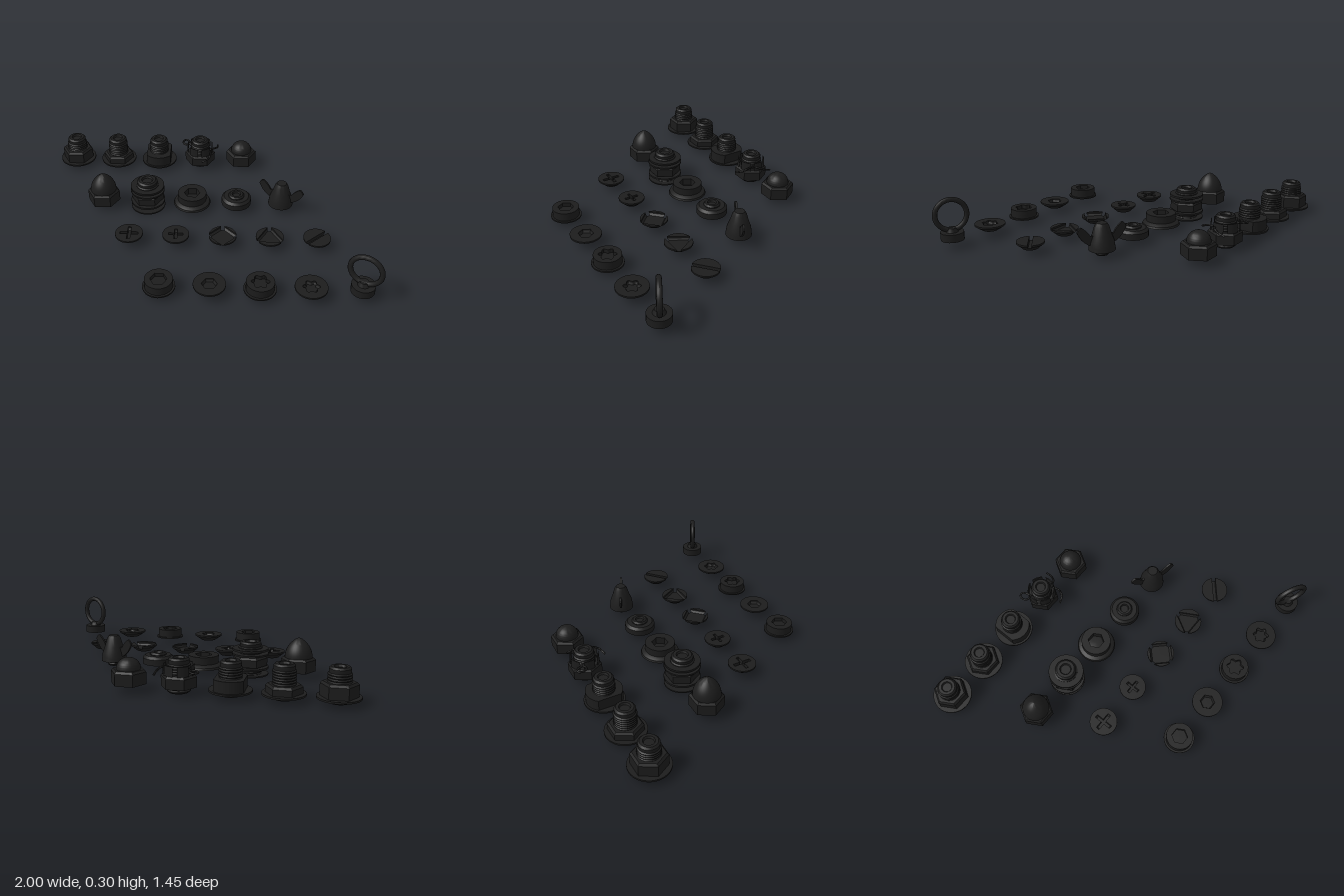
import * as THREE from 'three';
import { toCreasedNormals } from 'three/addons/utils/BufferGeometryUtils.js';

const mat = new THREE.MeshStandardMaterial({ color: 0x1c1c1c, side: THREE.DoubleSide });

function mesh(group, name, geo, crease = 0.6) {
  const m = new THREE.Mesh(toCreasedNormals(geo, crease), mat);
  m.name = name;
  group.add(m);
  return m;
}

const lathe = (g, name, pts, seg = 32) =>
  mesh(g, name, new THREE.LatheGeometry(pts.map(p => new THREE.Vector2(...p)), seg));

const disc = (g, name, r, y0, y1, rTop = r) =>
  lathe(g, name, [[0, y0], [r, y0], [rTop, y1], [0, y1]]);

// Hexagonal prism with corners on x and a chamfered top
function hex(g, name, r, y0, y1, chamfer = 0.012) {
  const add = (rTop, rBot, a, b, n) => {
    const geo = new THREE.CylinderGeometry(rTop, rBot, b - a, 6).rotateY(Math.PI / 6).translate(0, (a + b) / 2, 0);
    mesh(g, n, geo, 0.1);
  };
  add(r, r, y0, y1 - chamfer, name);
  add(r * 0.88, r, y1 - chamfer, y1, name + 'Chamfer');
}

// Threaded rod with a chamfered, dimpled tip
function stud(g, y0, y1, r = 0.064) {
  const pts = [[0, y0], [r * 0.85, y0]];
  const pitch = 0.014, end = y1 - 0.025;
  for (let y = y0 + 0.004; y + pitch < end; y += pitch) pts.push([r, y + pitch * 0.3], [r, y + pitch * 0.6], [r * 0.88, y + pitch]);
  pts.push([r * 0.9, end], [r * 0.9, y1 - 0.01], [r * 0.75, y1], [r * 0.5, y1], [r * 0.42, y1 - 0.012], [0, y1 - 0.012]);
  lathe(g, 'threadedStud', pts);
}

// Extrude shapes upward; the lower edge is drawn in by the taper factor
function slab(g, name, shapes, y0, y1, taper = 1) {
  const geo = new THREE.ExtrudeGeometry(shapes, { depth: y1 - y0, bevelEnabled: false, curveSegments: 24 });
  const p = geo.attributes.position;
  for (let i = 0; i < p.count; i++) {
    if (p.getZ(i) < 1e-6) p.setXY(i, p.getX(i) * taper, p.getY(i) * taper);
  }
  mesh(g, name, geo.rotateX(-Math.PI / 2).translate(0, y0, 0));
}

const circle = r => new THREE.Shape().absarc(0, 0, r, 0, Math.PI * 2);
const polar = (n, f) => Array.from({ length: n }, (_, i) => {
  const a = i / n * Math.PI * 2, r = f(a);
  return new THREE.Vector2(r * Math.cos(a), r * Math.sin(a));
});

// Outlines of the recessed drives
const hexDrive = r => polar(6, () => r);
const lobeDrive = r => polar(60, a => r * (1 + 0.16 * Math.cos(6 * a)));
const crossDrive = (r, w) => [0, 1, 2, 3].flatMap(k =>
  [[r, -w], [r, w], [w, w]].map(([x, y]) => new THREE.Vector2(x, y).rotateAround(new THREE.Vector2(), k * Math.PI / 2)));

function recessed(r, outline) {
  const s = circle(r);
  s.holes.push(new THREE.Path(outline));
  return [s];
}

// Disc cut into sectors by parallel-sided slots running to the rim
function slotted(r, arms, start, w) {
  const d = Math.asin(w / r), step = Math.PI * 2 / arms, inner = w / Math.sin(step / 2);
  return Array.from({ length: arms }, (_, i) => {
    const a = start + i * step, mid = a + step / 2;
    const s = new THREE.Shape();
    s.moveTo(inner * Math.cos(mid), inner * Math.sin(mid));
    s.absarc(0, 0, r, a + d, a + step - d, false);
    s.closePath();
    return s;
  });
}

function countersunkHead(g, r, shapes) {
  slab(g, 'headRim', shapes, 0.055, 0.065);
  slab(g, 'headTaper', shapes, 0.044, 0.055, 0.83);
  disc(g, 'headCone', 0.047, 0.025, 0.044, r * 0.83);
}

function capHead(g, shapes) {
  disc(g, 'headFlange', 0.092, 0.033, 0.042);
  disc(g, 'headBody', 0.08, 0.042, 0.068);
  slab(g, 'headRim', shapes, 0.068, 0.092);
}

const washer = (g, r = 0.117, y = 0.033, t = 0.01) => disc(g, 'washer', r, y, y + t);
const tube = (g, name, pts, r, closed = false) => mesh(g, name, new THREE.TubeGeometry(
  new THREE.CatmullRomCurve3(pts.map(p => new THREE.Vector3(...p)), closed), 32, r, 8, closed), 1);

function hexNut(g) { washer(g); hex(g, 'nut', 0.1, 0.043, 0.12); stud(g, 0.01, 0.2); }

function jamNut(g) { washer(g); hex(g, 'thinNut', 0.1, 0.043, 0.09); stud(g, 0.01, 0.2); }

function flatSidedNut(g) {
  washer(g);
  const a = Math.acos(0.08 / 0.105), s = new THREE.Shape();
  s.absarc(0, 0, 0.105, a, Math.PI - a, false);
  s.absarc(0, 0, 0.105, Math.PI + a, Math.PI * 2 - a, false);
  slab(g, 'flatSidedNut', [s], 0.043, 0.108);
  stud(g, 0.01, 0.2);
}

function castleNut(g) {
  hex(g, 'nut', 0.1, 0.04, 0.11);
  slab(g, 'crown', slotted(0.084, 6, Math.PI / 6, 0.011), 0.11, 0.165, 1.03);
  stud(g, 0.01, 0.2);
  // Split pin: loop, shank and two bent tails
  const y = 0.137;
  tube(g, 'pinLoop', [[-0.07, y, -0.035], [-0.092, y, -0.085], [-0.112, y, -0.078], [-0.117, y, -0.05], [-0.1, y, -0.028]], 0.006, true);
  tube(g, 'pinShank', [[-0.075, y, -0.035], [0, y, 0], [0.075, y, 0.03]], 0.008);
  tube(g, 'pinTailUp', [[0.07, y, 0.025], [0.1, y, 0.012], [0.117, y - 0.012, -0.02], [0.12, y - 0.025, -0.065]], 0.006);
  tube(g, 'pinTailDown', [[0.06, y, 0.03], [0.073, y, 0.08], [0.06, y - 0.015, 0.115], [0.016, y - 0.032, 0.135]], 0.006);
}

function domedNut(g, hexTop, domeR, top, power) {
  hex(g, 'nut', 0.1, 0.04, hexTop);
  const pts = [];
  for (let i = 0; i <= 12; i++) {
    const t = i / 12;
    pts.push([domeR * Math.pow(Math.max(0, 1 - Math.pow(t, 2)), power), hexTop + (top - hexTop) * t]);
  }
  lathe(g, 'dome', pts);
}

function stackedNut(g) {
  stud(g, 0, 0.2, 0.07);
  washer(g, 0.107, 0.003, 0.008);
  washer(g, 0.107, 0.04, 0.012);
  hex(g, 'nut', 0.1, 0.058, 0.115);
  washer(g, 0.107, 0.122, 0.01);
  washer(g, 0.105, 0.148, 0.012);
}

function flangeNut(g) {
  disc(g, 'flange', 0.117, 0.033, 0.045, 0.112);
  disc(g, 'flangeCone', 0.11, 0.045, 0.06, 0.085);
  slab(g, 'nut', recessed(0.09, hexDrive(0.05)), 0.06, 0.105);
}

function roundNut(g) {
  disc(g, 'rim', 0.093, 0.038, 0.075);
  disc(g, 'bevel', 0.093, 0.075, 0.09, 0.078);
  stud(g, 0.035, 0.105, 0.055);
}

function wingNut(g) {
  disc(g, 'base', 0.077, 0.04, 0.06, 0.074);
  lathe(g, 'hub', [[0.074, 0.06], [0.07, 0.09], [0.055, 0.13], [0.042, 0.175], [0.03, 0.195], [0, 0.195]]);
  stud(g, 0.01, 0.08, 0.04);
  const s = new THREE.Shape();
  s.moveTo(0.035, 0.07);
  s.lineTo(0.08, 0.075);
  s.quadraticCurveTo(0.125, 0.1, 0.148, 0.155);
  s.quadraticCurveTo(0.135, 0.185, 0.12, 0.182);
  s.quadraticCurveTo(0.085, 0.155, 0.07, 0.125);
  s.lineTo(0.035, 0.13);
  for (const side of [0, Math.PI]) {
    const geo = new THREE.ExtrudeGeometry(s, { depth: 0.012, bevelEnabled: false }).translate(0, 0, -0.006);
    mesh(g, 'wing', geo).rotation.y = side - 0.45;
  }
}

function eyeBolt(g) {
  disc(g, 'base', 0.067, 0.045, 0.092);
  disc(g, 'collar', 0.035, 0.092, 0.115, 0.025);
  mesh(g, 'ring', new THREE.TorusGeometry(0.09, 0.015, 12, 40).translate(0, 0.193, 0), 1).rotation.y = -0.49;
}

export function createModel() {
  const model = new THREE.Group();
  model.name = 'fastenerSet';
  const sunk = (r, shapes) => g => countersunkHead(g, r, shapes);
  const cap = shapes => g => capHead(g, shapes);
  // Each row: z, first x, then the pieces from right to left of the model
  const rows = [
    [-0.61, -0.885, { hexNut, jamNut, flatSidedNut, castleNut, capNut: g => domedNut(g, 0.12, 0.068, 0.184, 0.5) }],
    [-0.136, -0.636, { tallCapNut: g => domedNut(g, 0.12, 0.08, 0.235, 0.75), stackedNut, flangeNut, roundNut, wingNut }],
    [0.222, -0.436, {
      crossScrew: sunk(0.083, recessed(0.083, crossDrive(0.055, 0.01))),
      smallCrossScrew: sunk(0.08, recessed(0.08, crossDrive(0.043, 0.009))),
      fourSlotScrew: sunk(0.083, slotted(0.083, 4, 0, 0.011)),
      threeSlotScrew: sunk(0.083, slotted(0.083, 3, Math.PI / 2, 0.011)),
      slotScrew: sunk(0.081, slotted(0.081, 2, 0.72, 0.011)),
    }],
    [0.634, -0.222, {
      hexSocketCap: cap(recessed(0.08, hexDrive(0.048))),
      hexSocketScrew: sunk(0.092, recessed(0.092, hexDrive(0.045))),
      lobeSocketCap: cap(recessed(0.08, lobeDrive(0.045))),
      lobeSocketScrew: sunk(0.092, recessed(0.092, lobeDrive(0.042))),
      eyeBolt,
    }],
  ];
  for (const [z, x0, pieces] of rows) {
    Object.entries(pieces).forEach(([name, build], i) => {
      const g = new THREE.Group();
      g.name = name;
      build(g);
      g.position.set(x0 + 0.2805 * i, 0, z);
      model.add(g);
    });
  }
  return model;
}
